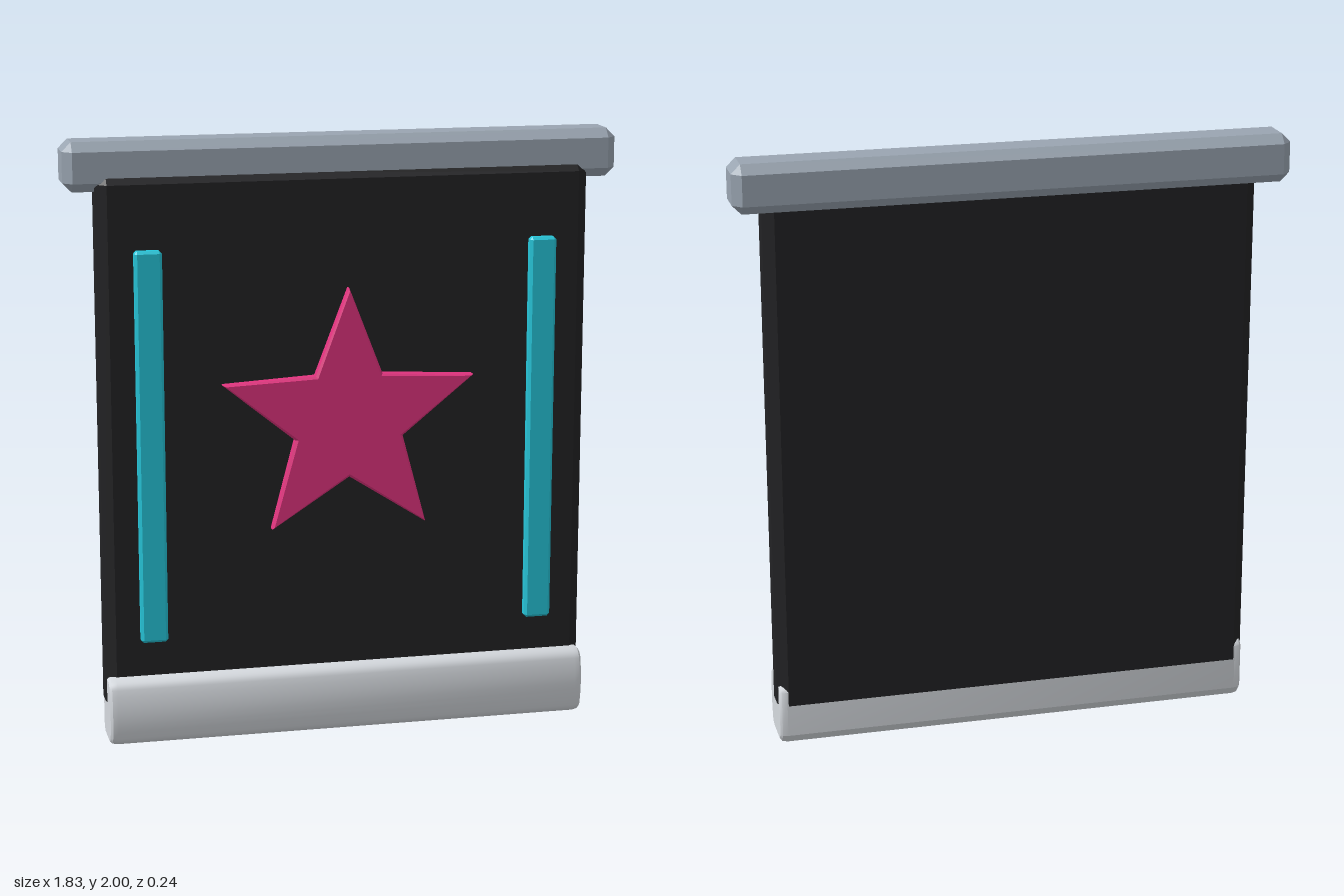
import * as THREE from 'three';
import { toCreasedNormals } from 'three/addons/utils/BufferGeometryUtils.js';
import { ConvexGeometry } from 'three/addons/geometries/ConvexGeometry.js';

// Box given by its limits, with every edge chamfered by c
function chamferBox([x0, x1], [y0, y1], [z0, z1], c) {
  const hx = (x1 - x0) / 2, hy = (y1 - y0) / 2, hz = (z1 - z0) / 2;
  const points = [];
  for (const sx of [-1, 1]) for (const sy of [-1, 1]) for (const sz of [-1, 1]) {
    points.push(
      new THREE.Vector3(sx * hx, sy * (hy - c), sz * (hz - c)),
      new THREE.Vector3(sx * (hx - c), sy * hy, sz * (hz - c)),
      new THREE.Vector3(sx * (hx - c), sy * (hy - c), sz * hz));
  }
  return new ConvexGeometry(points).translate((x0 + x1) / 2, (y0 + y1) / 2, (z0 + z1) / 2);
}

// Five-pointed star with a thin bevelled rim
function starGeometry(outer, inner) {
  const points = [];
  for (let i = 0; i < 10; i++) {
    const a = Math.PI / 2 + i * Math.PI / 5, r = i % 2 ? inner : outer;
    points.push(new THREE.Vector2(r * Math.cos(a), r * Math.sin(a)));
  }
  return new THREE.ExtrudeGeometry(new THREE.Shape(points), {
    depth: 0.03, bevelThickness: 0.008, bevelSize: 0.008, bevelSegments: 1,
  });
}

// Weight bar: rounded section (shape x = -z, shape y = y) swept across the width
function weightBarGeometry() {
  const s = new THREE.Shape();
  s.moveTo(0.04, 0.012);
  s.lineTo(0.057, 0.035);
  s.lineTo(0.057, 0.185);
  s.quadraticCurveTo(0.045, 0.205, 0.01, 0.213);
  s.lineTo(-0.06, 0.218);
  s.quadraticCurveTo(-0.09, 0.215, -0.096, 0.195);
  s.quadraticCurveTo(-0.118, 0.115, -0.096, 0.035);
  s.quadraticCurveTo(-0.09, 0.014, -0.06, 0.012);
  s.closePath();
  const g = new THREE.ExtrudeGeometry(s, {
    depth: 1.57, bevelThickness: 0.025, bevelSize: 0.012, bevelSegments: 2, curveSegments: 8,
  });
  g.translate(0, 0, -0.785).rotateY(Math.PI / 2);
  return toCreasedNormals(g, 0.6);
}

export function createModel() {
  const model = new THREE.Group();
  const add = (name, geometry, color, flatShading = true) => {
    const mesh = new THREE.Mesh(geometry, new THREE.MeshStandardMaterial({ color, flatShading }));
    mesh.name = name;
    model.add(mesh);
    return mesh;
  };

  add('topRail', chamferBox([-0.915, 0.915], [1.84, 2], [-0.12, 0.04], 0.03), 0x9aa5b1);
  add('panel', chamferBox([-0.815, 0.815], [0.105, 1.9], [-0.07, 0.06], 0.035), 0x222224);
  add('weightBar', weightBarGeometry(), 0xd5d9de, false);

  // Raised side stripes
  for (const [name, x] of [['leftStripe', 0.655], ['rightStripe', -0.655]]) {
    add(name, chamferBox([x - 0.045, x + 0.045], [0.35, 1.655], [0.05, 0.09], 0.009), 0x26c6da);
  }

  // Raised star in the middle
  add('star', starGeometry(0.43, 0.18), 0xe0337e).position.set(0, 1.07, 0.06);

  return model;
}
